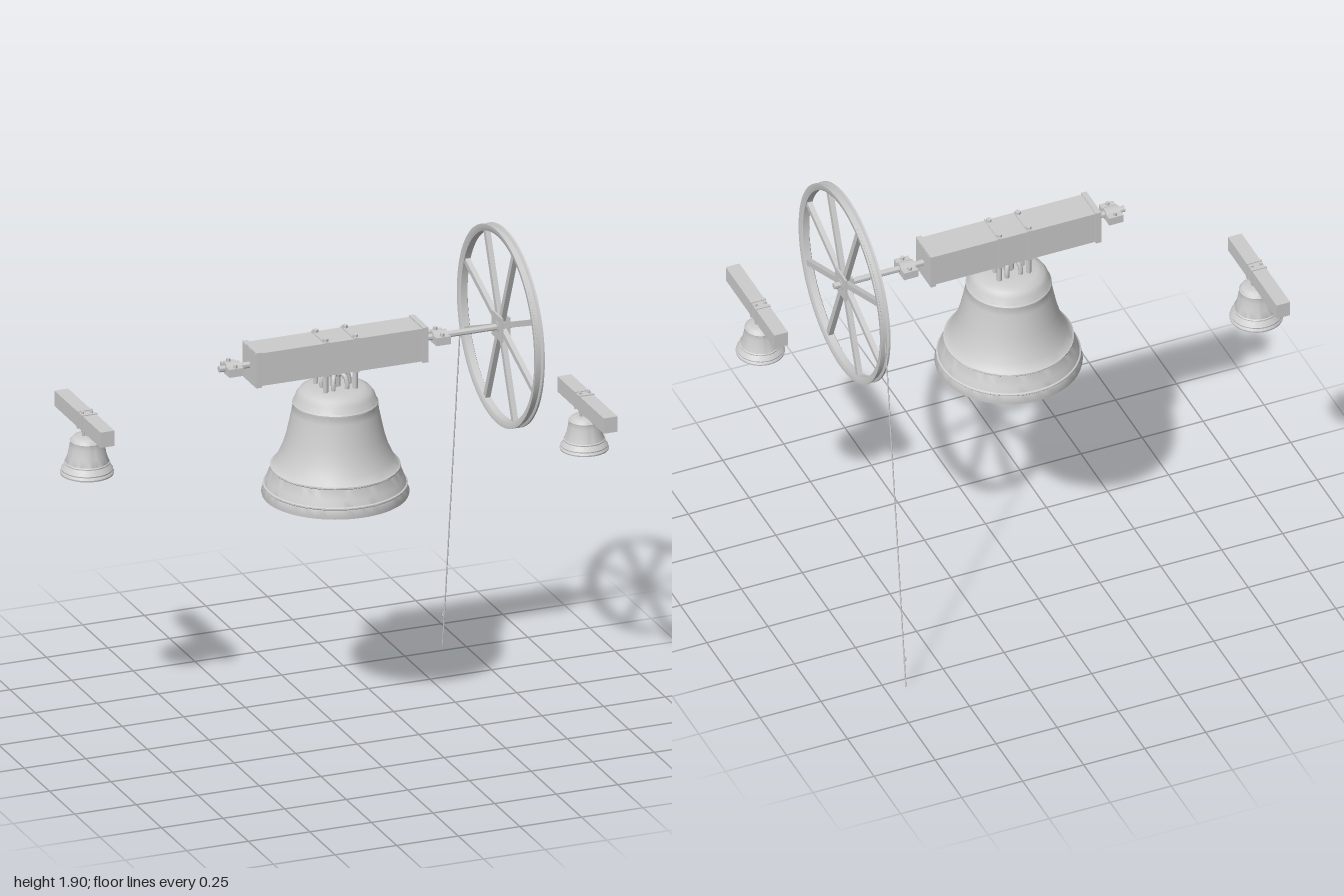
import * as THREE from 'three';
import { toCreasedNormals } from 'three/addons/utils/BufferGeometryUtils.js';

const metal = new THREE.MeshStandardMaterial({ color: 0xcccccc });
metal.name = 'light grey';

const AXIS_Y = 1.51, AXIS_Z = 0.032;

function add(parent, name, geometry, x = 0, y = 0, z = 0) {
  const mesh = new THREE.Mesh(geometry, metal);
  mesh.name = name;
  mesh.position.set(x, y, z);
  parent.add(mesh);
  return mesh;
}

const box = (w, h, d) => new THREE.BoxGeometry(w, h, d);

function cylinder(r, length, axis = 'y', sides = 16) {
  const g = toCreasedNormals(new THREE.CylinderGeometry(r, r, length, sides), 0.8);
  if (axis === 'x') g.rotateZ(Math.PI / 2);
  if (axis === 'z') g.rotateX(Math.PI / 2);
  return g;
}

function lathe(points, segments = 64) {
  const v = points.map(([r, y]) => new THREE.Vector2(r, y));
  return toCreasedNormals(new THREE.LatheGeometry(v, segments), 0.6);
}

// Hollow main bell: down the inside, round the lip, up the outside
function mainBell() {
  const bell = new THREE.Group();
  bell.name = 'mainBell';
  add(bell, 'bellBody', lathe([
    [0, 0.4], [0.1, 0.395], [0.125, 0.36], [0.14, 0.26], [0.165, 0.17], [0.2, 0.1], [0.225, 0.06], [0.255, 0],
    [0.277, 0], [0.279, 0.008], [0.27, 0.034], [0.273, 0.037], [0.273, 0.042], [0.267, 0.045],
    [0.258, 0.07], [0.243, 0.106], [0.246, 0.109], [0.246, 0.115], [0.239, 0.118],
    [0.22, 0.147], [0.2, 0.19], [0.185, 0.24], [0.173, 0.295], [0.165, 0.335], [0.161, 0.36],
    [0.162, 0.364], [0.162, 0.37], [0.157, 0.375], [0.149, 0.4], [0.135, 0.419], [0.11, 0.43], [0.06, 0.434], [0, 0.434],
  ]));
  // Clapper with a ball and tapered tip
  add(bell, 'clapper', lathe([
    [0, -0.008], [0.009, -0.006], [0.011, 0.012], [0.018, 0.03], [0.028, 0.045],
    [0.031, 0.06], [0.026, 0.078], [0.012, 0.095], [0.009, 0.14], [0.008, 0.395],
  ], 24));
  // Crown loops
  add(bell, 'crownPost', cylinder(0.02, 0.075), 0, 0.465, 0);
  for (let i = 0; i < 6; i++) {
    const arm = new THREE.Group();
    arm.name = 'crownLoop';
    arm.rotation.y = i * Math.PI / 3;
    const path = new THREE.CatmullRomCurve3([
      [0.055, 0.425], [0.056, 0.455], [0.045, 0.482], [0.025, 0.487], [0.01, 0.475],
    ].map(([x, y]) => new THREE.Vector3(x, y, 0)));
    add(arm, 'loop', new THREE.TubeGeometry(path, 14, 0.009, 8));
    bell.add(arm);
  }
  bell.position.set(0, 0.938, AXIS_Z);
  return bell;
}

function headstock() {
  const g = new THREE.Group();
  g.name = 'headstock';
  add(g, 'beam', box(0.7, 0.132, 0.13));
  for (const s of [-1, 1]) {
    add(g, 'endBand', box(0.022, 0.142, 0.14), s * 0.338, 0, 0);
    add(g, 'topStrap', box(0.022, 0.006, 0.134), s * 0.06, 0.067, 0);
    add(g, 'bottomStrap', box(0.022, 0.006, 0.134), s * 0.06, -0.067, 0);
    for (const t of [-1, 1]) {
      add(g, 'sideStrap', box(0.022, 0.138, 0.004), s * 0.06, 0, t * 0.066);
      add(g, 'hangerRod', cylinder(0.01, 0.21), s * 0.06, -0.038, t * 0.05);
      add(g, 'hangerNut', cylinder(0.011, 0.014, 'y', 6), s * 0.06, 0.073, t * 0.05);
    }
    // Bearings around the shaft
    add(g, 'bearingBase', box(0.058, 0.02, 0.096), s * 0.42, -0.011, 0);
    add(g, 'bearingFlange', box(0.058, 0.012, 0.096), s * 0.42, 0.005, 0);
    add(g, 'bearingCap', cylinder(0.023, 0.058, 'x', 24), s * 0.42, 0, 0);
    for (const t of [-1, 1]) add(g, 'bearingBolt', cylinder(0.008, 0.014, 'y', 6), s * 0.42, 0.016, t * 0.035);
  }
  add(g, 'shaft', cylinder(0.012, 1.19, 'x', 20), 0.122, 0, 0);
  g.position.set(0, AXIS_Y - 0.002, AXIS_Z);
  return g;
}

// Grooved rope wheel with eight spokes
function ropeWheel() {
  const g = new THREE.Group();
  g.name = 'ropeWheel';
  const rim = lathe([
    [0.363, 0.013], [0.363, -0.013], [0.376, -0.019], [0.39, -0.019], [0.39, -0.012], [0.38, -0.008],
    [0.38, 0.008], [0.39, 0.012], [0.39, 0.019], [0.376, 0.019], [0.363, 0.013],
  ], 80);
  rim.rotateZ(Math.PI / 2);
  add(g, 'rim', rim);
  for (let i = 0; i < 8; i++) {
    const spoke = new THREE.Group();
    spoke.name = 'spoke';
    spoke.rotation.x = (i + 0.5) * Math.PI / 4;
    add(spoke, 'spokeBar', box(0.02, 0.34, 0.022), 0, 0.2, 0);
    g.add(spoke);
  }
  for (const s of [-1, 1]) add(g, 'hubPlate', box(0.008, 0.098, 0.098), s * 0.014, 0, 0);
  add(g, 'hub', cylinder(0.022, 0.04, 'x', 24));
  g.position.set(0.672, AXIS_Y, AXIS_Z);
  return g;
}

function rope() {
  const g = new THREE.Group();
  g.name = 'pullRope';
  const line = new THREE.LineCurve3(new THREE.Vector3(0.672, 1.5, -0.353), new THREE.Vector3(0.672, 0, -0.545));
  add(g, 'rope', new THREE.TubeGeometry(line, 1, 0.0028, 8));
  const loop = new THREE.TorusGeometry(0.008, 0.0025, 6, 16);
  loop.rotateY(Math.PI / 2);
  add(g, 'ropeLoop', loop, 0.672, 0.13, -0.538);
  return g;
}

// Small fixed bell hung from its own short beam
function smallBell(name, x, bellZ, beamZ, r, bottom) {
  const g = new THREE.Group();
  g.name = name;
  const h = 1.207 - bottom;
  const profile = [
    [0, 0.92], [0.5, 0.9], [0.57, 0.6], [0.68, 0.33], [0.9, 0],
    [0.99, 0], [1, 0.04], [0.95, 0.1], [0.96, 0.13], [0.93, 0.15], [0.84, 0.27], [0.85, 0.3], [0.81, 0.32],
    [0.72, 0.5], [0.66, 0.72], [0.63, 0.83], [0.64, 0.87], [0.6, 0.91], [0.52, 0.97], [0.35, 1], [0, 1],
  ];
  add(g, 'smallBellBody', lathe(profile.map(([a, b]) => [a * r, b * h]), 48), x, bottom, bellZ);
  add(g, 'smallClapper', new THREE.SphereGeometry(0.014, 16, 12), x, bottom + 0.022, bellZ);
  add(g, 'smallClapperRod', cylinder(0.004, h * 0.75, 'y', 8), x, bottom + h * 0.52, bellZ);
  add(g, 'hanger', cylinder(0.012, 0.04), x, 1.22, bellZ);
  for (let i = 0; i < 2; i++) {
    const loop = new THREE.TorusGeometry(0.016, 0.005, 8, 20);
    loop.rotateY(i * Math.PI / 2);
    add(g, 'hangerLoop', loop, x, 1.216, bellZ);
  }
  add(g, 'smallBeam', box(0.056, 0.062, 0.458), x, 1.265, beamZ);
  // Straps round the beam
  for (const s of [-1, 1]) {
    add(g, 'beamStrap', box(0.062, 0.07, 0.01), x, 1.265, bellZ + s * 0.022);
    add(g, 'strapNut', cylinder(0.006, 0.008, 'y', 6), x + s * 0.018, 1.3, bellZ);
  }
  return g;
}

export function createModel() {
  const model = new THREE.Group();
  model.name = 'bellSet';
  model.add(
    mainBell(), headstock(), ropeWheel(), rope(),
    smallBell('rightSmallBell', -0.898, -0.236, -0.262, 0.102, 1.055),
    smallBell('leftSmallBell', 0.905, 0.29, 0.322, 0.093, 1.075),
  );
  return model;
}
